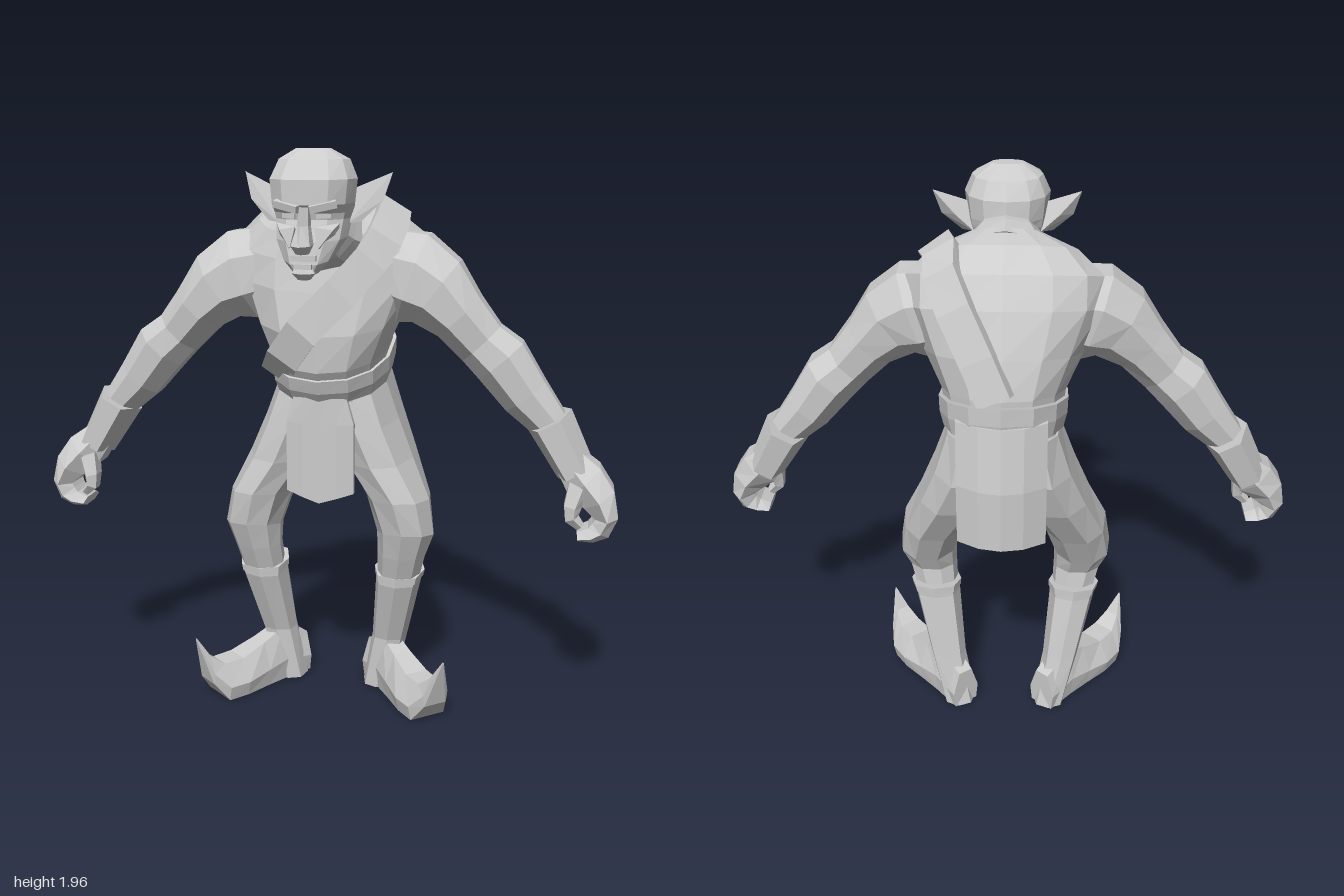
import * as THREE from 'three';
import { ConvexGeometry } from 'three/addons/geometries/ConvexGeometry.js';

const V = (x, y, z) => new THREE.Vector3(x, y, z);
const clay = new THREE.MeshStandardMaterial({ color: 0xcccccc });
clay.name = 'paleGrey';

// Closed faceted solid through a list of rings of points; turned outward by its volume
function loft(rings) {
  const tris = [], n = rings[0].length;
  for (let i = 0; i + 1 < rings.length; i++)
    for (let j = 0; j < n; j++) {
      const k = (j + 1) % n, a = rings[i][j], b = rings[i][k], c = rings[i + 1][k], d = rings[i + 1][j];
      tris.push([a, b, c], [a, c, d]);
    }
  for (const [r, flip] of [[rings[0], true], [rings[rings.length - 1], false]]) {
    const mid = r.reduce((s, p) => s.add(p), V(0, 0, 0)).divideScalar(n);
    for (let j = 0; j < n; j++) {
      const k = (j + 1) % n;
      tris.push(flip ? [mid, r[k], r[j]] : [mid, r[j], r[k]]);
    }
  }
  const o = rings[0][0];
  let volume = 0;
  for (const [a, b, c] of tris)
    volume += a.clone().sub(o).dot(b.clone().sub(o).cross(c.clone().sub(o)));
  const pts = tris.flatMap(([a, b, c]) => (volume < 0 ? [a, c, b] : [a, b, c]));
  const g = new THREE.BufferGeometry().setFromPoints(pts);
  g.computeVertexNormals();
  return g;
}

// Point on a tilted oval given by its front (yf, zf), back (yb, zb), half width and centre x
function onOval([yf, zf, yb, zb, w, cx = 0], a, p = 0.9) {
  const pw = (v) => Math.sign(v) * Math.abs(v) ** p;
  const u = (1 - pw(Math.cos(a))) / 2;
  return V(cx + w * pw(Math.sin(a)), yf + (yb - yf) * u, zf + (zb - zf) * u);
}
const oval = (r, n, p) => Array.from({ length: n }, (_, i) => onOval(r, (i / n) * Math.PI * 2, p));
const ovalLoft = (rows, n = 10, p) => loft(rows.map((r) => oval(r, n, p)));

// Limb along a path of [x, y, z, radius across, radius in z]
function limb(path, n, turn = 0) {
  return path.map(([x, y, z, rn, rz], i) => {
    const a = path[Math.max(i - 1, 0)], b = path[Math.min(i + 1, path.length - 1)];
    const t = V(b[0] - a[0], b[1] - a[1], 0).normalize();
    return Array.from({ length: n }, (_, j) => {
      const q = (j / n) * Math.PI * 2 + turn, c = Math.cos(q) * rn;
      return V(x - t.y * c, y + t.x * c, z + Math.sin(q) * rz);
    });
  });
}
const mirror = (rings, s) => rings.map((r) => r.map((p) => V(p.x * s, p.y, p.z)));

const torsoRows = [
  [1.14, 0.13, 1.24, -0.355, 0.19], [1.24, 0.19, 1.38, -0.355, 0.205],
  [1.36, 0.195, 1.5, -0.32, 0.26], [1.5, 0.16, 1.64, -0.265, 0.32],
  [1.6, 0.135, 1.735, -0.205, 0.32], [1.68, 0.12, 1.8, -0.125, 0.235],
  [1.74, 0.1, 1.82, -0.03, 0.12],
];

// Point on the torso surface, v along the rows and a around
function onTorso(v, a) {
  const i = Math.min(Math.floor(v), torsoRows.length - 2);
  return onOval(torsoRows[i], a).lerp(onOval(torsoRows[i + 1], a), v - i);
}

// Sash laid on the torso, from right hip over the left shoulder to the middle of the back
function sash() {
  const path = [[0.6, -0.85], [1.3, -0.5], [2.1, -0.15], [3, 0.2], [4, 0.5], [4.7, 0.85], [5.1, 1.35],
    [5.1, 1.9], [4.8, 2.3], [4, 2.55], [3, 2.72], [2, 2.9], [1, 3.08]];
  const pts = path.map(([v, a]) => onTorso(v, a));
  const hub = V(0, 1.45, -0.08);
  return loft(pts.map((p, i) => {
    const t = pts[Math.min(i + 1, pts.length - 1)].clone().sub(pts[Math.max(i - 1, 0)]).normalize();
    const out = p.clone().sub(hub).normalize();
    const side = t.clone().cross(out).normalize();
    out.crossVectors(side, t).normalize();
    return [[-1, -1], [1, -1], [1, 1], [-1, 1]].map(([s, h]) =>
      p.clone().addScaledVector(side, s * 0.058).addScaledVector(out, h * 0.02));
  }));
}

// Hanging cloth: a box whose corners follow a rule
function cloth(width, top, bottom, depth, rule) {
  const g = new THREE.BoxGeometry(width, top - bottom, depth, 4, 4, 1).toNonIndexed();
  g.translate(0, (top + bottom) / 2, 0);
  const p = g.attributes.position;
  for (let i = 0; i < p.count; i++) {
    const v = rule(V().fromBufferAttribute(p, i));
    p.setXYZ(i, v.x, v.y, v.z);
  }
  g.computeVertexNormals();
  return g;
}

// Vertical cross-sections of the turned-out shoe: distance, half width, bottom, top
function shoe() {
  const dx = 0.63, dz = 0.777;
  return [[-0.035, 0.055, 0, 0.15], [0.08, 0.06, 0, 0.2], [0.17, 0.07, 0, 0.165], [0.27, 0.085, 0, 0.135],
    [0.35, 0.08, 0, 0.135], [0.4, 0.05, 0.07, 0.175], [0.444, 0.004, 0.24, 0.25]].map(([d, w, lo, hi]) =>
    [[-0.85, 0], [0.85, 0], [1, 0.4], [0.5, 1], [-0.5, 1], [-1, 0.4]].map(([s, h]) =>
      V(0.165 + dx * d + dz * w * s, lo + (hi - lo) * h, -0.16 + dz * d - dx * w * s)));
}

export function createModel() {
  const model = new THREE.Group();
  const add = (name, geometry, parent = model) => {
    const m = new THREE.Mesh(geometry, clay);
    m.name = name;
    parent.add(m);
    return m;
  };

  // Body and clothing
  add('torso', ovalLoft(torsoRows, 14));
  add('pelvis', ovalLoft([[1.15, 0.13, 1.26, -0.355, 0.19], [1.02, 0.12, 1.08, -0.35, 0.195],
    [0.92, 0.06, 0.93, -0.27, 0.13]], 12));
  add('belt', ovalLoft([[1.13, 0.145, 1.25, -0.375, 0.2], [1.165, 0.17, 1.31, -0.385, 0.212],
    [1.21, 0.185, 1.37, -0.385, 0.214]], 14));
  add('sash', sash());
  add('frontFlap', cloth(0.24, 1.15, 0.78, 0.02, (p) => {
    const edge = Math.abs(p.x) / 0.12;
    p.z += 0.14 - edge * edge * 0.02;
    p.x *= p.y > 1.1 ? 0.75 : 0.97;
    if (p.y < 0.8) p.y += edge * 0.035;
    return p;
  }));
  add('backFlap', cloth(0.29, 1.3, 0.87, 0.025, (p) => {
    const t = (1.3 - p.y) / 0.43;
    p.z += -0.375 - 0.032 * Math.min(t * 2, 1) + p.x * p.x * 2.6;
    return p;
  }));
  add('neck', ovalLoft([[1.56, 0.12, 1.82, -0.06, 0.17], [1.6, 0.21, 1.83, 0.03, 0.125],
    [1.65, 0.28, 1.83, 0.1, 0.095]], 10));

  // Head
  const head = new THREE.Group();
  head.name = 'head';
  model.add(head);
  add('skull', ovalLoft([[1.575, 0.35, 1.62, 0.21, 0.045], [1.61, 0.36, 1.66, 0.17, 0.08],
    [1.68, 0.345, 1.7, 0.11, 0.114], [1.745, 0.32, 1.75, 0.08, 0.122], [1.765, 0.325, 1.77, 0.07, 0.127],
    [1.79, 0.35, 1.8, 0.06, 0.132], [1.865, 0.345, 1.87, 0.065, 0.14], [1.925, 0.295, 1.925, 0.1, 0.115],
    [1.958, 0.24, 1.958, 0.18, 0.055]], 12), head);
  add('nose', ovalLoft([[1.785, 0.36, 1.785, 0.29, 0.016], [1.73, 0.38, 1.73, 0.29, 0.02],
    [1.67, 0.415, 1.675, 0.31, 0.034], [1.645, 0.385, 1.65, 0.32, 0.022]], 6), head);
  const upperLip = add('upperLip', new THREE.BoxGeometry(0.08, 0.018, 0.03), head);
  upperLip.position.set(0, 1.632, 0.345);
  const lowerLip = add('lowerLip', new THREE.BoxGeometry(0.055, 0.015, 0.03), head);
  lowerLip.position.set(0, 1.607, 0.35);
  add('chin', ovalLoft([[1.565, 0.355, 1.57, 0.31, 0.022], [1.585, 0.372, 1.59, 0.3, 0.04],
    [1.605, 0.362, 1.61, 0.3, 0.03]], 6), head);

  for (const s of [1, -1]) {
    const side = s > 0 ? 'left' : 'right';
    const part = (name, rings) => add(side + name, loft(mirror(rings, s)));
    const hull = (name, pts) =>
      add(side + name, new ConvexGeometry(pts.map(([x, y, z]) => V(x * s, y, z))), head);

    // Face halves
    const brow = add(side + 'Brow', new THREE.BoxGeometry(0.085, 0.022, 0.035), head);
    brow.position.set(s * 0.055, 1.788, 0.328);
    brow.rotation.set(0.2, s * 0.35, s * 0.14);
    hull('Cheek', [[0.03, 1.725, 0.335], [0.1, 1.735, 0.285], [0.085, 1.715, 0.315], [0.045, 1.66, 0.345],
      [0.09, 1.67, 0.27], [0.03, 1.69, 0.29]]);
    const eye = add(side + 'Eye', new THREE.BoxGeometry(0.045, 0.014, 0.02), head);
    eye.position.set(s * 0.052, 1.757, 0.306);
    eye.rotation.y = s * 0.35;
    hull('Ear', [[0.11, 1.83, 0.19], [0.11, 1.73, 0.22], [0.11, 1.75, 0.14], [0.15, 1.735, 0.2],
      [0.215, 1.8, 0.17], [0.24, 1.885, 0.145], [0.17, 1.805, 0.14]]);

    // Arm
    part('Arm', limb([[0.2, 1.56, -0.04, 0.15, 0.13], [0.29, 1.54, -0.02, 0.165, 0.145],
      [0.37, 1.5, 0, 0.135, 0.135], [0.45, 1.42, 0.01, 0.1, 0.12], [0.525, 1.335, 0.01, 0.09, 0.098],
      [0.59, 1.28, 0.01, 0.1, 0.108], [0.675, 1.165, 0.01, 0.086, 0.095], [0.78, 1.05, 0.015, 0.06, 0.07]], 8, 0.39));
    part('Cuff', limb([[0.757, 1.085, 0.01, 0.08, 0.125], [0.85, 0.92, 0.025, 0.065, 0.105]], 6));
    part('Hand', limb([[0.82, 0.965, 0.03, 0.055, 0.07], [0.88, 0.9, 0.05, 0.078, 0.088],
      [0.93, 0.845, 0.065, 0.065, 0.092], [0.958, 0.785, 0.075, 0.042, 0.092], [0.94, 0.745, 0.08, 0.04, 0.085],
      [0.91, 0.727, 0.085, 0.03, 0.08], [0.868, 0.718, 0.085, 0.018, 0.07]], 6, 0.52));
    part('Thumb', limb([[0.865, 0.89, 0.09, 0.042, 0.042], [0.845, 0.82, 0.11, 0.032, 0.038],
      [0.845, 0.78, 0.115, 0.026, 0.032], [0.875, 0.75, 0.11, 0.016, 0.02]], 5));

    // Leg, boot and shoe
    part('Leg', [[1.15, 0.1, 1.22, -0.34, 0.1, 0.09], [1.03, 0.115, 1.06, -0.35, 0.125, 0.115],
      [0.9, 0.11, 0.92, -0.3, 0.125, 0.17], [0.78, 0.11, 0.75, -0.205, 0.112, 0.248],
      [0.66, 0.09, 0.62, -0.14, 0.102, 0.278], [0.56, 0.06, 0.56, -0.11, 0.086, 0.264],
      [0.44, 0.02, 0.46, -0.12, 0.075, 0.248]].map((r) => oval(r, 9)));
    part('BootShaft', [[0.47, 0.03, 0.5, -0.145, 0.086, 0.252], [0.44, 0.028, 0.46, -0.146, 0.082, 0.248],
      [0.2, -0.05, 0.2, -0.18, 0.064, 0.21], [0, -0.06, 0, -0.212, 0.06, 0.17]].map((r) => oval(r, 8, 0.8)));
    part('BootTrim', [[0.475, 0.034, 0.505, -0.15, 0.091, 0.252],
      [0.45, 0.032, 0.48, -0.15, 0.088, 0.25]].map((r) => oval(r, 8, 0.8)));
    part('Shoe', shoe());
  }
  return model;
}
